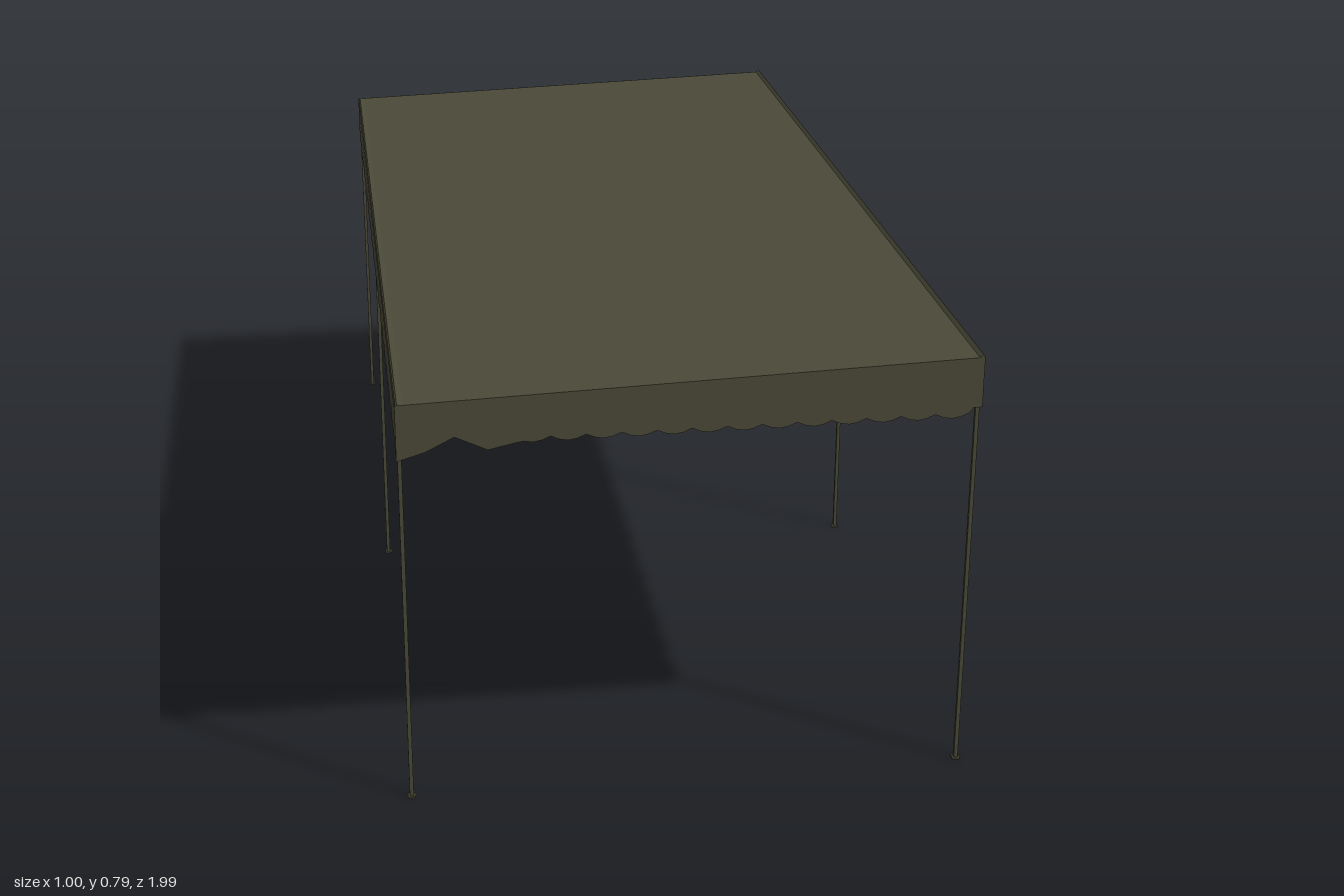
import * as THREE from 'three';

const HX = 0.495, HZ = 0.996;
const canvas = new THREE.MeshStandardMaterial({ color: 0x4c4b39, side: THREE.DoubleSide });
canvas.name = 'olive canvas';
const metal = new THREE.MeshStandardMaterial({ color: 0x4a4938 });
metal.name = 'olive painted metal';

// Height of the gently sloping roof at x, and the depth of its underside below that
const roofY = (x) => 0.763 + x * 0.035;
const ROOF_DEPTH = 0.056;

function mesh(name, geometry, material) {
  const m = new THREE.Mesh(geometry, material);
  m.name = name;
  return m;
}

// Hanging cloth strip: each station gives [x, z, top, bottom]
function valance(name, stations) {
  const pos = [], idx = [];
  stations.forEach(([x, z, top, bottom], i) => {
    pos.push(x, top, z, x, bottom, z);
    if (i === 0) return;
    const a = (i - 1) * 2, b = i * 2;
    idx.push(a, a + 1, b, b, a + 1, b + 1);
  });
  const g = new THREE.BufferGeometry();
  g.setAttribute('position', new THREE.Float32BufferAttribute(pos, 3));
  g.setIndex(idx);
  g.computeVertexNormals();
  return mesh(name, g, canvas);
}

// 0 at the notch between two scallops, 1 at the lowest point
const scallop = (t) => Math.sin(Math.PI * (t - Math.floor(t)));

// Long side, with twenty scallops
function sideValance(name, sign, top, notch, depth) {
  const list = [], n = 20, seg = 4;
  for (let i = 0; i <= n * seg; i++) {
    const t = i / seg;
    const corner = Math.min(t, n - t) < 0.5;
    const drop = corner ? 1 : scallop(t);
    list.push([sign * 0.497, HZ - (2 * HZ * t) / n, top, notch - depth * drop]);
  }
  // The outside of the strip faces away from the roof
  return valance(name, sign > 0 ? list : list.reverse());
}

// Short end, with a deep corner point on the low side and small scallops after it
function endValance(name, sign) {
  const points = [[-0.497, 0.646], [-0.45, 0.66], [-0.4, 0.685], [-0.345, 0.659], [-0.3, 0.669]];
  const n = 13, seg = 4, x0 = -0.3, x1 = 0.475;
  for (let i = 1; i <= n * seg; i++) {
    const t = i / seg, x = x0 + ((x1 - x0) * t) / n;
    points.push([x, 0.679 + x * 0.004 - 0.009 * scallop(t)]);
  }
  points.push([0.482, 0.69], [0.497, 0.69]);
  const list = points.map(([x, y]) => [x, sign * (HZ + 0.001), roofY(x), y]);
  return valance(name, sign > 0 ? list : list.reverse());
}

// Slim post with a foot plate; the foot may stand away from the head
function post(name, x, z, footX = x) {
  const g = new THREE.Group();
  g.name = name;
  const h = roofY(x) - 0.02;
  const bar = new THREE.BoxGeometry(0.007, h, 0.007);
  bar.translate(0, h / 2, 0);
  const p = bar.attributes.position;
  for (let i = 0; i < p.count; i++) {
    p.setX(i, p.getX(i) + x + (footX - x) * (1 - p.getY(i) / h));
  }
  bar.translate(0, 0, z);
  bar.computeVertexNormals();
  const foot = new THREE.BoxGeometry(0.014, 0.003, 0.014);
  foot.translate(footX, 0.0015, z);
  g.add(mesh('postBar', bar, metal), mesh('footPlate', foot, metal));
  return g;
}

export function createModel() {
  const model = new THREE.Group();
  model.name = 'awning';

  // Closed roof, lined underneath, with a raised lip along each long edge
  const profile = new THREE.Shape([
    [-HX, roofY(-HX) - ROOF_DEPTH], [HX, roofY(HX) - ROOF_DEPTH],
    [0.496, 0.784], [0.494, 0.786], [0.488, 0.78],
    [-0.484, roofY(-0.484)], [-0.493, 0.747], [-0.496, 0.744],
  ].map(([x, y]) => new THREE.Vector2(x, y)));
  const roof = new THREE.ExtrudeGeometry(profile, { depth: 2 * HZ, bevelEnabled: false });
  roof.translate(0, 0, -HZ);
  model.add(mesh('roof', roof, canvas));

  // Scalloped cloth on all four sides
  model.add(
    sideValance('leftValance', 1, 0.782, 0.71, 0.019),
    sideValance('rightValance', -1, 0.745, 0.668, 0.018),
    endValance('frontValance', 1),
    endValance('backValance', -1),
  );

  // Three posts on each long side; the back left one leans
  [['front', 0.987], ['middle', 0], ['back', -0.985]].forEach(([label, z]) => {
    model.add(post(`${label}RightPost`, -0.4915, z));
    model.add(post(`${label}LeftPost`, 0.4905, z, label === 'back' ? 0.475 : 0.4905));
  });
  return model;
}
